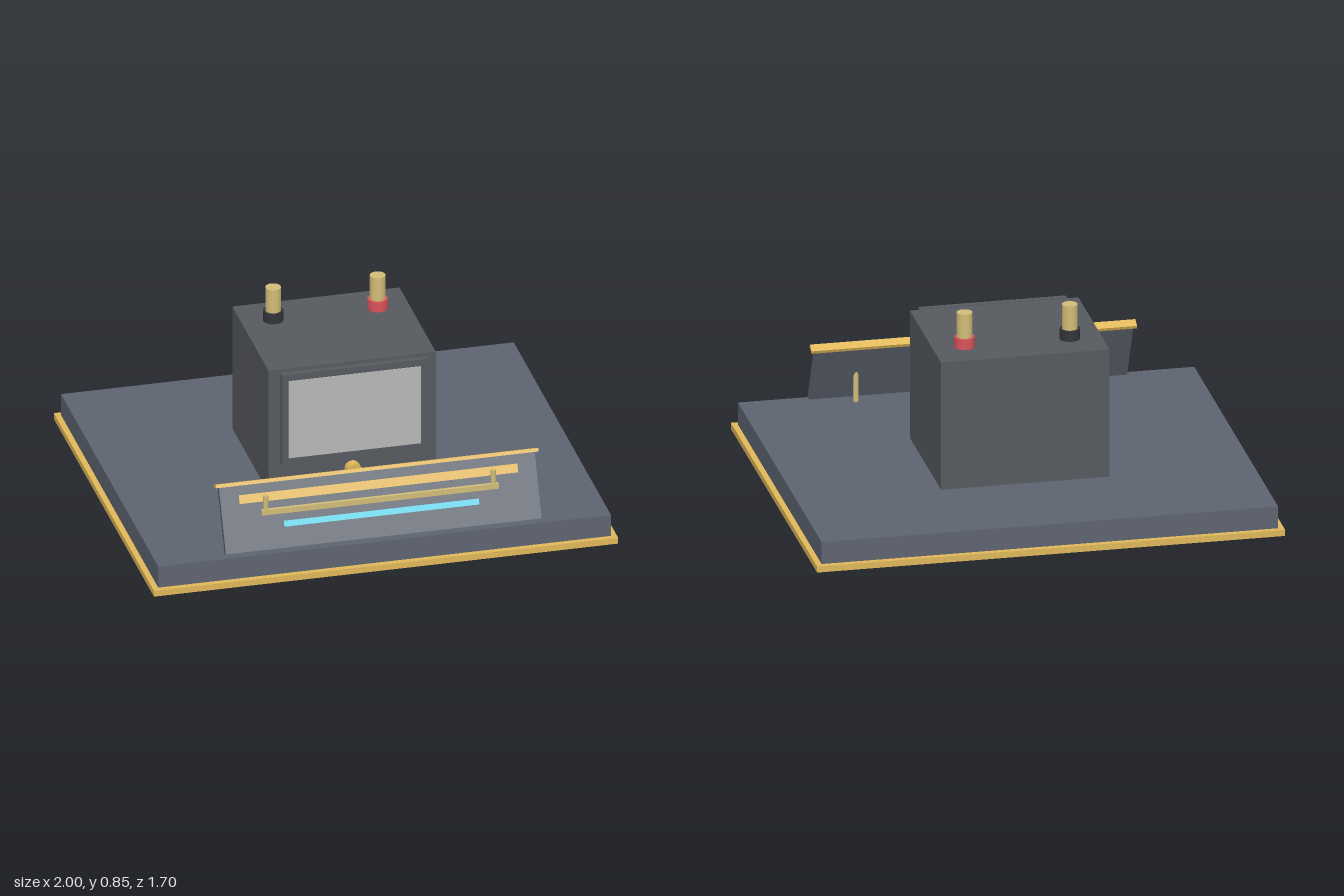
import * as THREE from 'three';

const paint = (color) => new THREE.MeshStandardMaterial({ color });

export function createModel() {
  const model = new THREE.Group();
  const slate = paint(0x5e6470), casing = paint(0x565a5f), black = paint(0x33353a);
  const gold = paint(0xe0b85a), brass = paint(0xd2bd78), red = paint(0xd9535a);
  const cyan = paint(0x62d4e8), pale = paint(0xb8b8b8);

  const add = (parent, name, geometry, material, x, y, z) => {
    const mesh = new THREE.Mesh(geometry, material);
    mesh.name = name;
    mesh.position.set(x, y, z);
    parent.add(mesh);
    return mesh;
  };
  const box = (parent, name, w, h, d, material, x, y, z) =>
    add(parent, name, new THREE.BoxGeometry(w, h, d), material, x, y, z);
  const cylinder = (parent, name, r, h, material, x, y, z) =>
    add(parent, name, new THREE.CylinderGeometry(r, r, h, 24), material, x, y, z);

  // Rectangular frame lying in the xy plane, extruded along z
  const frame = (w, h, border, depth) => {
    const rect = (Type, a, b) => {
      const p = new Type();
      p.moveTo(-a, -b).lineTo(a, -b).lineTo(a, b).lineTo(-a, b).closePath();
      return p;
    };
    const shape = rect(THREE.Shape, w / 2, h / 2);
    shape.holes.push(rect(THREE.Path, w / 2 - border, h / 2 - border));
    return new THREE.ExtrudeGeometry(shape, { depth, bevelEnabled: false });
  };

  // Plinth with its gold edging
  box(model, 'plinth', 1.95, 0.125, 1.65, slate, 0, 0.0625, 0);
  add(model, 'plinthTrim', frame(2, 1.7, 0.025, 0.027), gold, 0, 0, 0).rotation.x = -Math.PI / 2;
  model.getObjectByName('plinthTrim').position.y = 0;

  // Instrument housing
  const meter = new THREE.Group();
  meter.name = 'meter';
  model.add(meter);
  box(meter, 'housing', 0.72, 0.57, 0.615, casing, 0, 0.41, -0.033);

  // Dial markings, pivot and needle behind the window
  for (let i = 0; i <= 10; i++) {
    const a = THREE.MathUtils.degToRad(-40 + i * 8);
    const length = i % 5 === 0 ? 0.04 : 0.025;
    const r = 0.2;
    box(meter, 'dialTick', 0.006, length, 0.008, black,
      Math.sin(a) * r, 0.36 + Math.cos(a) * r, 0.278).rotation.z = -a;
  }
  box(meter, 'needle', 0.006, 0.14, 0.006, black, 0, 0.43, 0.279);
  cylinder(meter, 'needlePivot', 0.02, 0.018, gold, 0, 0.36, 0.284).rotation.x = Math.PI / 2;

  // Window panel standing just off the housing
  box(meter, 'bezel', 0.63, 0.42, 0.025, casing, 0, 0.48, 0.308);
  box(meter, 'window', 0.57, 0.36, 0.004, pale, 0, 0.48, 0.3205);
  cylinder(meter, 'adjusterKnob', 0.033, 0.04, gold, 0, 0.2, 0.295).rotation.x = Math.PI / 2;

  // Pair of terminals on the housing top
  for (const side of [-1, 1]) {
    const terminal = new THREE.Group();
    terminal.name = side < 0 ? 'rightTerminal' : 'leftTerminal';
    terminal.position.set(side * 0.225, 0.695, -0.18);
    meter.add(terminal);
    cylinder(terminal, 'collar', 0.043, 0.046, side < 0 ? black : red, 0, 0.023, 0);
    cylinder(terminal, 'post', 0.033, 0.108, brass, 0, 0.1, 0);
  }

  // Sloping front panel; its parts share the panel's tilt
  const panel = new THREE.Group();
  panel.name = 'frontPanel';
  panel.position.set(0, 0.26, 0.74);
  panel.rotation.x = -THREE.MathUtils.degToRad(25);
  model.add(panel);
  box(panel, 'panelBoard', 1.36, 0.28, 0.025, slate, 0, 0, 0);
  box(panel, 'panelCap', 1.39, 0.015, 0.04, gold, 0, 0.147, 0.004);
  box(panel, 'upperStrip', 1.2, 0.037, 0.008, gold, 0, 0.081, 0.014);
  box(panel, 'lightStrip', 0.84, 0.025, 0.008, cyan, 0, -0.04, 0.015);

  // Rail carried by two upright pins that pass through the panel
  box(model, 'rail', 1.02, 0.024, 0.024, brass, 0, 0.282, 0.741);
  for (const side of [-1, 1]) {
    cylinder(model, 'railPin', 0.011, 0.23, brass, side * 0.49, 0.24, 0.738);
  }
  return model;
}
